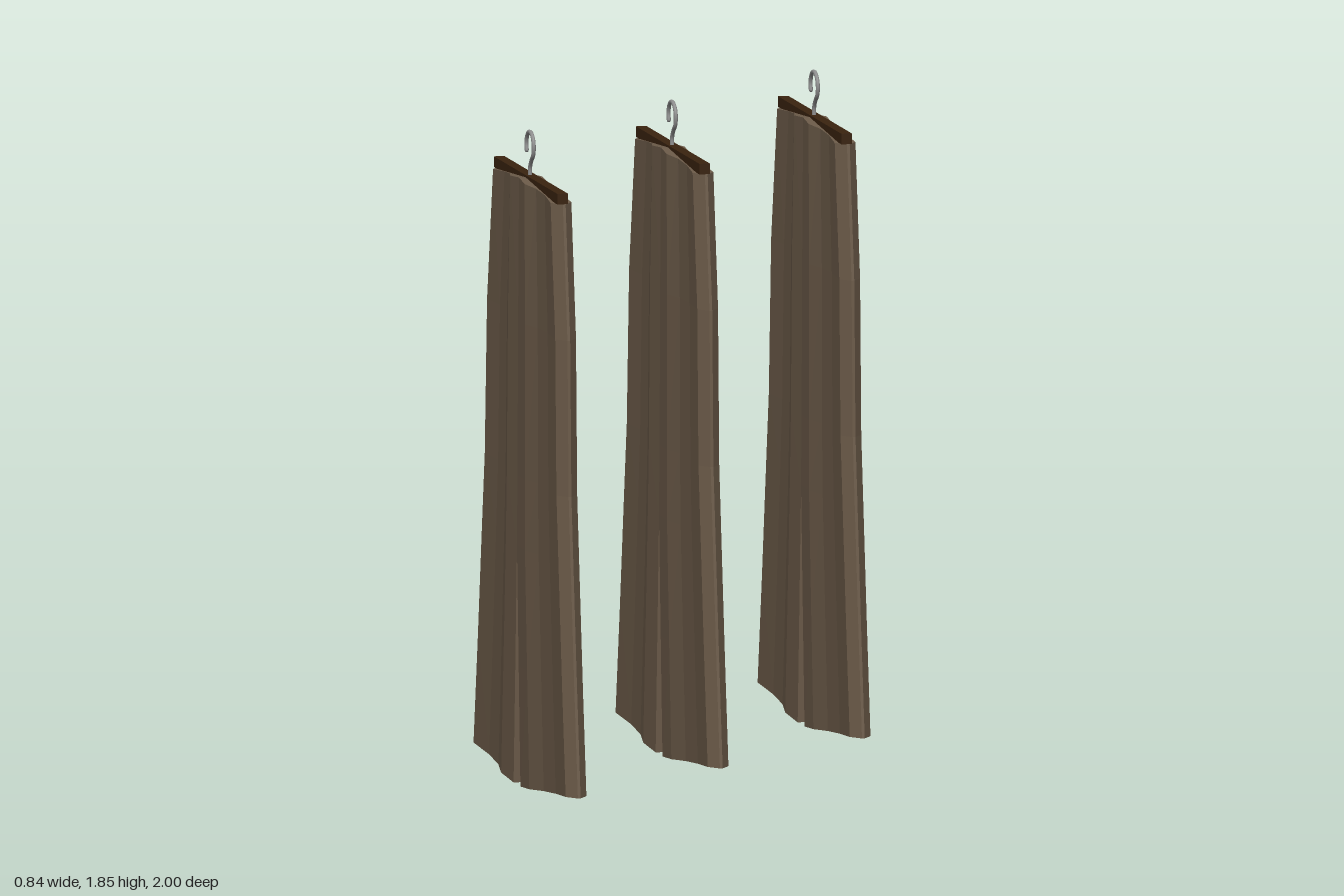
import * as THREE from 'three';

const cloth = new THREE.MeshStandardMaterial({ color: 0x6c5b49 });
cloth.name = 'brown cloth';
const wood = new THREE.MeshStandardMaterial({ color: 0x3a230f });
wood.name = 'dark wood';
const metal = new THREE.MeshStandardMaterial({ color: 0x8f8f8f });
metal.name = 'grey metal';

// Rows from waist to hem: height at outer and inner edge, right tip, left tip, centre, half gap
const ROWS = [
  [1.698, 1.722, 0.37, -0.325, 0.022, 0],
  [1.32, 1.32, 0.42, -0.39, 0.012, 0],
  [0.88, 0.88, 0.433, -0.415, 0.005, 0],
  [0.68, 0.68, 0.456, -0.444, 0, 0],
  [0.35, 0.34, 0.494, -0.49, 0, 0.018],
  [0.043, 0.002, 0.533, -0.537, 0, 0.037],
];
// Fold profile across one half: fraction outward, front depth, back depth
const FOLDS = [
  [0, 0.038, -0.03],
  [0.25, 0.043, -0.026],
  [0.45, 0.026, -0.031],
  [0.7, 0.022, -0.028],
  [1, 0.03, -0.03],
];

// One half of the trousers: a closed tube lofted through the rows
function trouserHalf(side) {
  const rings = ROWS.map(([yOut, yIn, right, left, mid, gap]) => {
    const tip = side > 0 ? right : left;
    const inner = mid + side * gap;
    const corner = tip - side * 0.035;
    const at = (t, z) => [inner + (corner - inner) * t, yIn + (yOut - yIn) * t, z];
    return [
      ...FOLDS.map(([t, front]) => at(t, front)),
      [tip, yOut, 0.004],
      [tip, yOut, -0.004],
      ...FOLDS.map(([t, , back]) => at(t, back)).reverse(),
    ];
  });
  const n = rings[0].length;
  const pos = [];
  const quad = (a, b, c, d) => {
    const tris = side > 0 ? [a, b, c, a, c, d] : [a, c, b, a, d, c];
    tris.forEach((p) => pos.push(...p));
  };
  for (let k = 0; k < rings.length - 1; k++) {
    const up = rings[k];
    const low = rings[k + 1];
    for (let i = 0; i < n; i++) {
      const j = (i + 1) % n;
      quad(low[i], low[j], up[j], up[i]);
    }
  }
  // Waist and hem faces
  const top = rings[0];
  const hem = rings[rings.length - 1];
  for (let i = 0; i < n / 2 - 1; i++) {
    quad(top[i], top[i + 1], top[n - 2 - i], top[n - 1 - i]);
    quad(hem[n - 1 - i], hem[n - 2 - i], hem[i + 1], hem[i]);
  }
  const geo = new THREE.BufferGeometry();
  geo.setAttribute('position', new THREE.Float32BufferAttribute(pos, 3));
  geo.computeVertexNormals();
  return geo;
}

// Hook path: a short stem, then a loop opening to the left
function hookGeometry() {
  const r = 0.04;
  const cy = 1.81;
  const points = [new THREE.Vector3(0, 1.715, 0), new THREE.Vector3(0, 1.75, 0)];
  for (let i = 0; i <= 9; i++) {
    const a = THREE.MathUtils.degToRad(-65 + i * 30);
    points.push(new THREE.Vector3(r * Math.cos(a), cy + r * Math.sin(a), 0));
  }
  return new THREE.TubeGeometry(new THREE.CatmullRomCurve3(points), 40, 0.006, 8);
}

export function createModel() {
  const model = new THREE.Group();
  model.name = 'hangingTrousers';
  const halves = { leftHalf: trouserHalf(1), rightHalf: trouserHalf(-1) };
  const barGeo = new THREE.BoxGeometry(0.69, 0.03, 0.03);
  const hookGeo = hookGeometry();
  const tipGeo = new THREE.SphereGeometry(0.006, 8, 6);

  for (let i = -1; i <= 1; i++) {
    const pair = new THREE.Group();
    pair.name = 'trousersOnHanger';
    const add = (geo, mat, name, x = 0, y = 0, z = 0) => {
      const mesh = new THREE.Mesh(geo, mat);
      mesh.name = name;
      mesh.position.set(x, y, z);
      pair.add(mesh);
    };
    for (const [name, geo] of Object.entries(halves)) add(geo, cloth, name);
    add(barGeo, wood, 'hangerBar', 0.022, 1.713, 0.004);
    add(hookGeo, metal, 'hangerHook', 0.022, 0, 0.006);
    // Rounded end of the hook
    const end = THREE.MathUtils.degToRad(205);
    add(tipGeo, metal, 'hookTip', 0.022 + 0.04 * Math.cos(end), 1.81 + 0.04 * Math.sin(end), 0.006);
    pair.rotation.y = THREE.MathUtils.degToRad(-38.4);
    pair.position.z = i * 0.664;
    model.add(pair);
  }
  return model;
}
